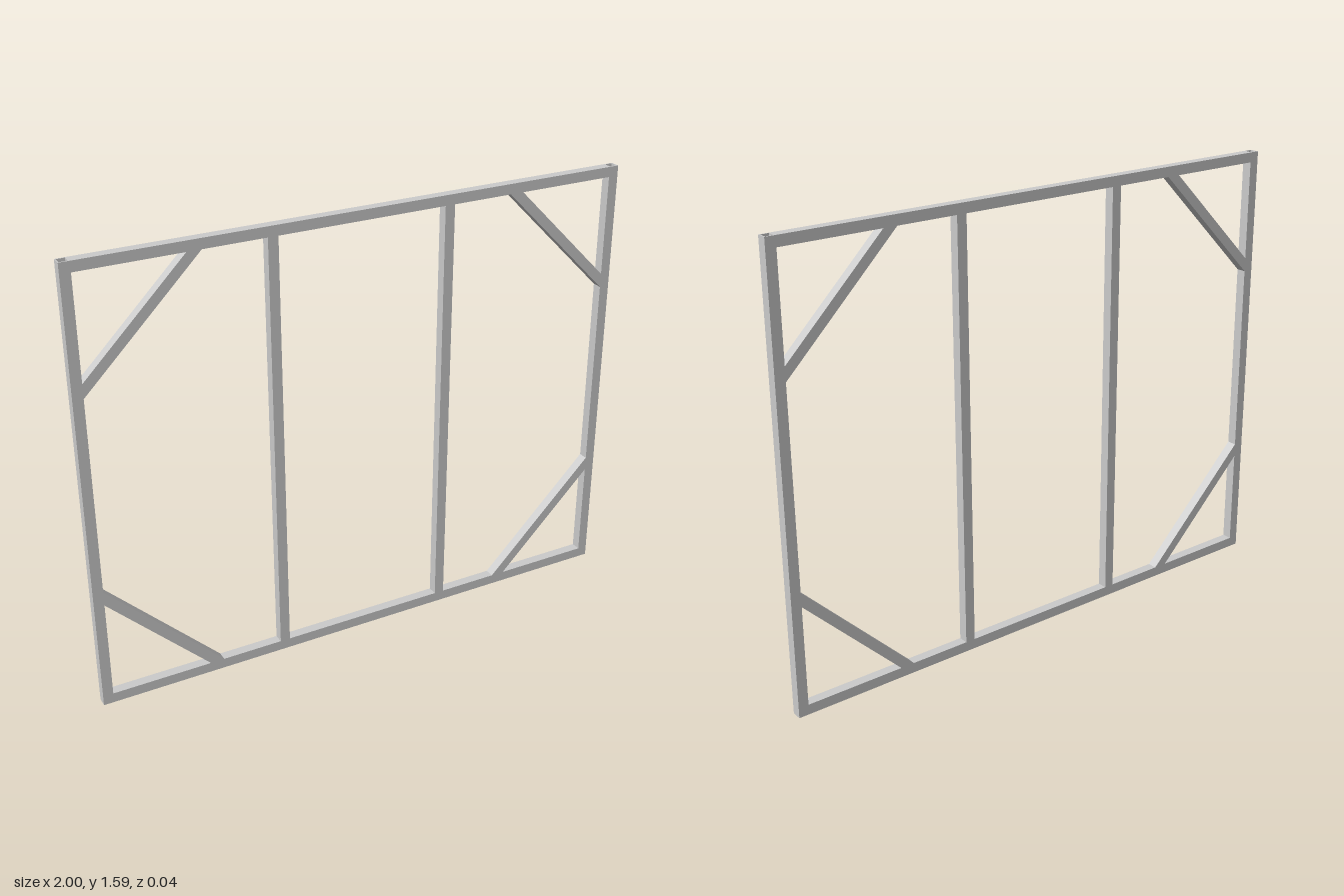
import * as THREE from 'three';

const W = 2, H = 1.585, T = 0.036, WALL = 0.004;
const mat = new THREE.MeshStandardMaterial({ color: 0xcccccc });

// Hollow square tube of length len, centred, running along y
function squareTube(len) {
  const square = (Type, r) => {
    const p = new Type();
    p.moveTo(-r, -r); p.lineTo(r, -r); p.lineTo(r, r); p.lineTo(-r, r); p.closePath();
    return p;
  };
  const s = square(THREE.Shape, T / 2);
  s.holes.push(square(THREE.Path, T / 2 - WALL));
  const g = new THREE.ExtrudeGeometry(s, { depth: len, bevelEnabled: false });
  g.translate(0, 0, -len / 2);
  g.rotateX(-Math.PI / 2);
  return g;
}

// Corner brace: bar with 45 degree mitred ends, fitted into the corner at the origin
function braceGeometry() {
  const inner = 0.357, outer = 0.407;
  const s = new THREE.Shape();
  s.moveTo(inner, 0); s.lineTo(outer, 0); s.lineTo(0, outer); s.lineTo(0, inner); s.closePath();
  const g = new THREE.ExtrudeGeometry(s, { depth: T, bevelEnabled: false });
  g.translate(0, 0, -T / 2);
  return g;
}

export function createModel() {
  const group = new THREE.Group();
  const add = (name, geometry, x, y, rotZ = 0) => {
    const m = new THREE.Mesh(geometry, mat);
    m.name = name;
    m.position.set(x, y, 0);
    m.rotation.z = rotZ;
    group.add(m);
  };

  // Outer posts run full height, rails and inner posts fit between
  const post = squareTube(H);
  const rail = squareTube(W - 2 * T);
  const inner = squareTube(H - 2 * T);
  for (const [side, s] of [['left', 1], ['right', -1]]) {
    add(side + 'Post', post, s * (W - T) / 2, H / 2);
    add(side + 'InnerPost', inner, s * 0.32, H / 2);
  }
  add('topRail', rail, 0, H - T / 2, Math.PI / 2);
  add('bottomRail', rail, 0, T / 2, Math.PI / 2);

  // One brace per corner, turned a quarter each time
  const brace = braceGeometry();
  const cx = W / 2 - T;
  add('bottomRightBrace', brace, -cx, T, 0);
  add('bottomLeftBrace', brace, cx, T, Math.PI / 2);
  add('topLeftBrace', brace, cx, H - T, Math.PI);
  add('topRightBrace', brace, -cx, H - T, -Math.PI / 2);

  return group;
}
